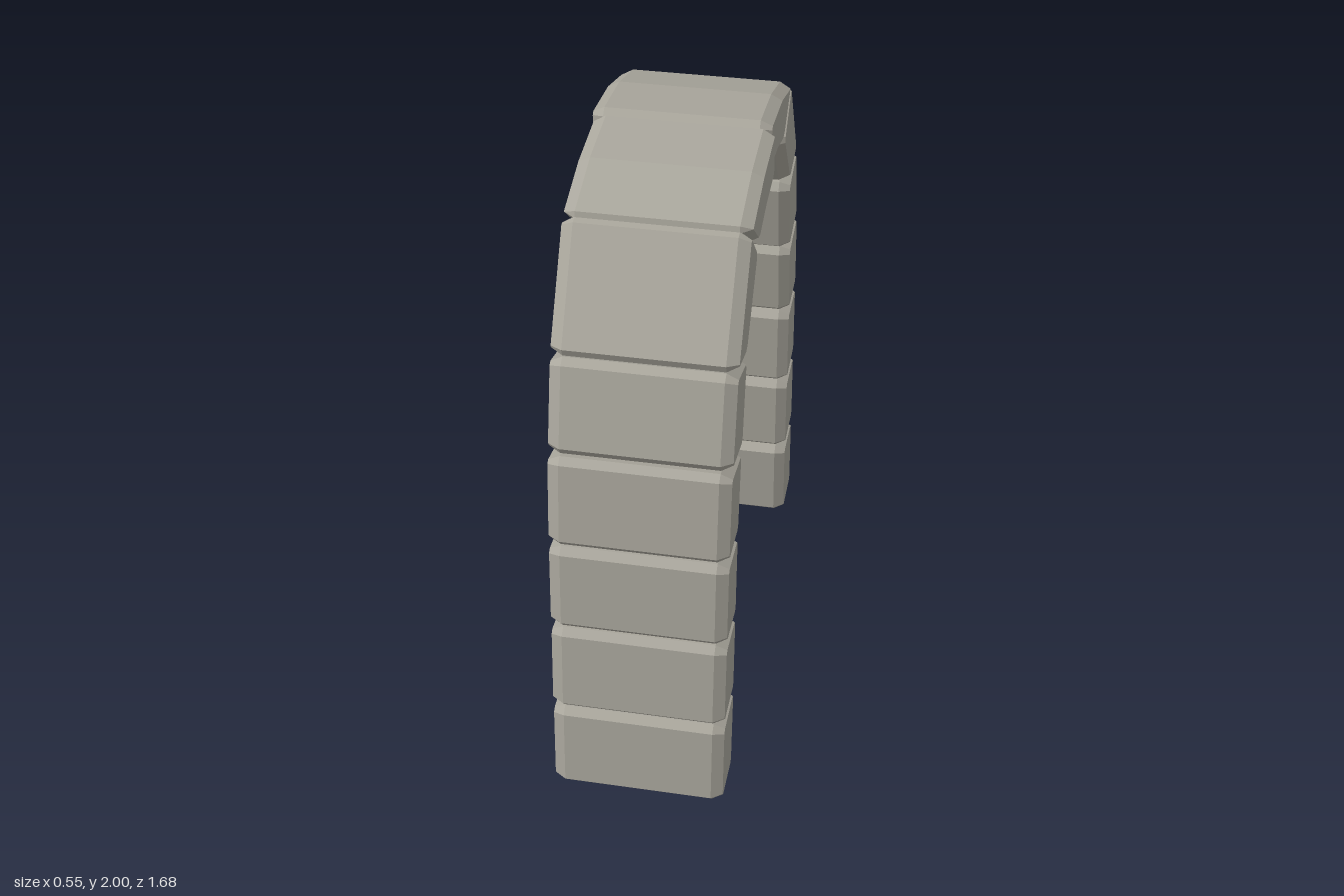
import * as THREE from 'three';

const stoneMat = new THREE.MeshStandardMaterial({ color: 0xa9a69c, flatShading: true });
const woodMat = new THREE.MeshStandardMaterial({ color: 0xcccccc, flatShading: true });

// Stone profiles of one half arch as [z, y] corners, from the foot to the crown
const STONES = [
  [[0.84, 0.055], [0.64, 0.045], [0.615, 0.357], [0.82, 0.36]],
  [[0.825, 0.37], [0.62, 0.36], [0.605, 0.655], [0.8, 0.67]],
  [[0.803, 0.68], [0.605, 0.66], [0.59, 0.958], [0.783, 0.972]],
  [[0.784, 0.98], [0.59, 0.965], [0.55, 1.24], [0.75, 1.28]],
  [[0.742, 1.285], [0.54, 1.245], [0.485, 1.52], [0.67, 1.572]],
  [[0.67, 1.575], [0.495, 1.53], [0.312, 1.77], [0.46, 1.915]],
  [[0.465, 1.91], [0.31, 1.78], [0.16, 1.82], [0.004, 1.835], [0.004, 2.0], [0.24, 1.975]],
];

// Cut off every sharp corner of a profile
function clipCorners(pts, d) {
  const out = [];
  const n = pts.length;
  pts.forEach((p, i) => {
    const a = pts[(i + n - 1) % n].clone().sub(p).normalize();
    const b = pts[(i + 1) % n].clone().sub(p).normalize();
    if (a.dot(b) < -0.8) out.push(p);
    else out.push(p.clone().addScaledVector(a, d), p.clone().addScaledVector(b, d));
  });
  return out;
}

const toVectors = (list) => list.map(([z, y]) => new THREE.Vector2(z, y));

// Extrude a [z, y] shape along x, ending at xMax
function extrudeAlongX(shape, depth, xMax, bevel) {
  const geo = new THREE.ExtrudeGeometry(shape, { depth, steps: 1, ...bevel });
  geo.rotateY(-Math.PI / 2);
  geo.translate(xMax, 0, 0);
  return geo;
}

function halfArch(name) {
  const half = new THREE.Group();
  half.name = name;
  const t = 0.035;
  STONES.forEach((pts, i) => {
    const shape = new THREE.Shape(clipCorners(toVectors(pts), 0.022).reverse());
    const geo = extrudeAlongX(shape, 0.535 - 2 * t, 0.275 - t, {
      bevelEnabled: true, bevelSegments: 1, bevelThickness: t, bevelSize: 0.018, bevelOffset: -0.018,
    });
    const stone = new THREE.Mesh(geo, stoneMat);
    stone.name = i === STONES.length - 1 ? 'crownStone' : 'archStone' + (i + 1);
    half.add(stone);
  });
  return half;
}

function woodenDoor() {
  // Splintered lower edge, from front to back
  const bottom = [
    [0.65, 0.05], [0.63, 0.05], [0.62, 0.19], [0.6, 0.05], [0.45, 0.045], [0.445, 0.005],
    [0.405, 0.005], [0.4, 0.055], [0.385, 0.01], [0.28, 0.06], [0.19, 0.02], [0.168, 0.15],
    [0.155, 0.015], [0, 0.025], [-0.02, 0.045], [-0.13, 0.025], [-0.225, 0.06], [-0.28, 0.015],
    [-0.35, 0.06], [-0.375, 0.01], [-0.42, 0.01], [-0.425, 0.055], [-0.44, 0], [-0.46, 0],
    [-0.465, 0.05], [-0.65, 0.045],
  ];
  // Rounded upper edge, tucked slightly into the stones
  const side = [[0.635, 0.36], [0.615, 0.66], [0.6, 0.965], [0.56, 1.25], [0.5, 1.53], [0.325, 1.785], [0.16, 1.83]];
  const split = [[0.07, 1.835], [0.08, 1.58], [0.092, 1.835]];
  const outline = [
    ...bottom,
    ...side.map(([z, y]) => [-z, y]),
    [0, 1.85], ...split,
    ...side.slice().reverse(),
  ];
  const shape = new THREE.Shape(toVectors(outline));

  // Cracks and seams between the planks
  const cracks = [
    [[0.205, 0.23], [0.2, 1.1], [0.205, 1.75], [0.232, 1.1]],
    [[0.435, 0.5], [0.438, 0.85], [0.452, 1.15], [0.452, 0.8]],
    [[-0.225, 0.1], [-0.229, 0.9], [-0.226, 1.76], [-0.223, 0.9]],
    [[-0.46, 0.12], [-0.463, 0.7], [-0.464, 1.45], [-0.46, 0.7]],
  ];
  cracks.forEach((c) => shape.holes.push(new THREE.Path(toVectors(c))));

  const door = new THREE.Mesh(extrudeAlongX(shape, 0.04, 0.07, { bevelEnabled: false }), woodMat);
  door.name = 'woodenDoor';
  return door;
}

export function createModel() {
  const model = new THREE.Group();
  model.name = 'archedDoorway';
  // The back half is the front half turned around
  const back = halfArch('backHalfArch');
  back.rotation.y = Math.PI;
  model.add(halfArch('frontHalfArch'), back, woodenDoor());
  return model;
}
